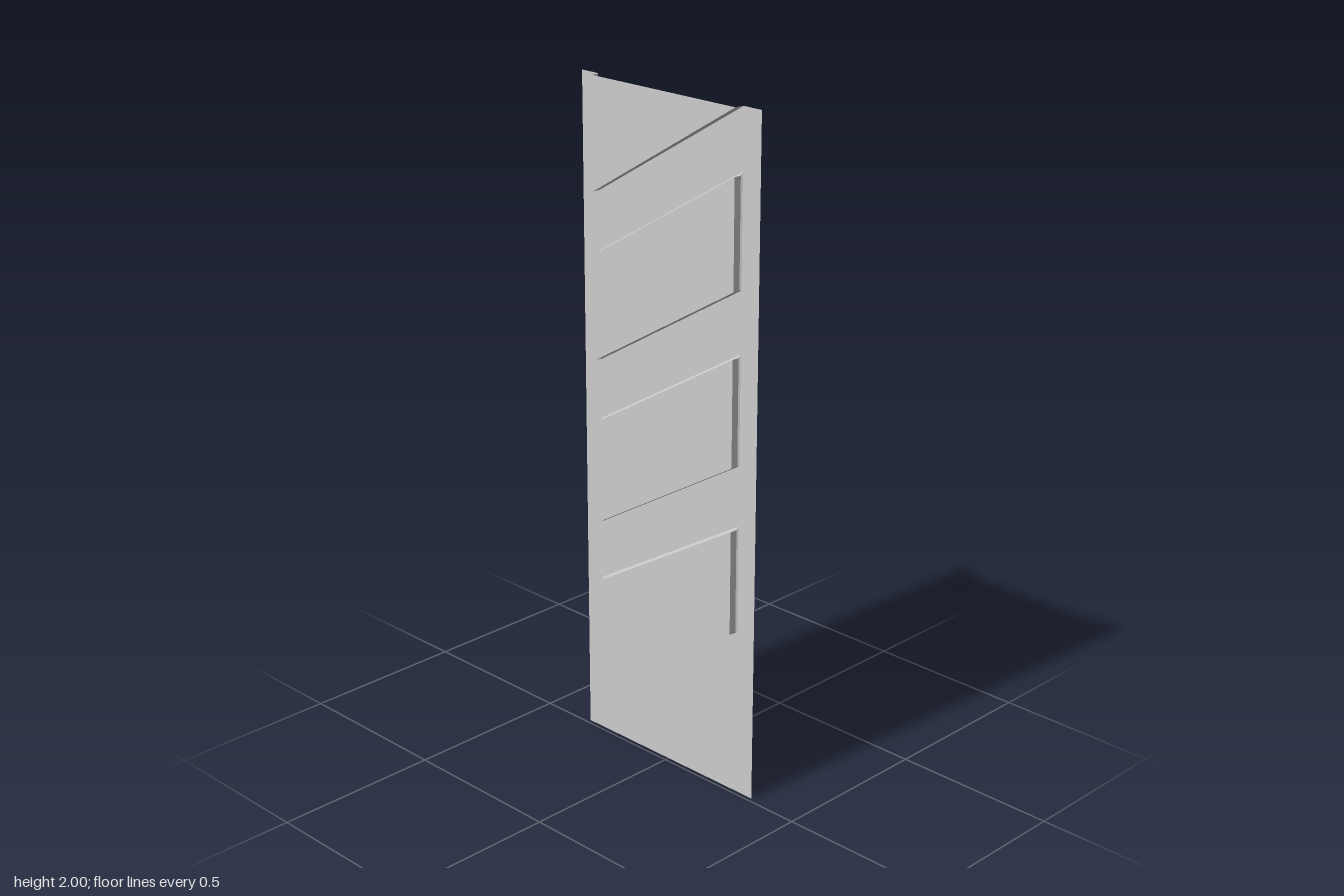
import * as THREE from 'three';

const H = 2, HALF = 0.333;              // sheet height and half width
const W = 0.27, SLOPE = 0.605;          // recess half width, fall per unit
const FACE = 0.0133, LIP = 0.0095, FLOOR = -0.0135; // depths along x

const material = new THREE.MeshStandardMaterial({
  color: 0xcccccc, flatShading: true, side: THREE.DoubleSide,
});

// Corners in (u, y), where u = -z. The inset shrinks the outline past the lip.
function slantedOutline(low, inset) {
  const w = W - inset;
  const bottom = (u) => low + inset * 0.5 - SLOPE * (u + W);
  const top = (u) => low + 0.322 - inset * 2 - SLOPE * (u + W);
  return [[-w, bottom(-w)], [w, bottom(w)], [w, top(w)], [-w, top(-w)]];
}

// The uppermost recess is cut off by the top edge of the sheet.
function cutOutline(inset) {
  const w = W - inset;
  return [[-w, H], [w, H - SLOPE * 2 * W + inset * 0.5], [w, H]];
}

const toPoints = (outline) => outline.map(([u, y]) => new THREE.Vector2(u, y));

// Flat face at depth x, looking towards +x
function face(name, shape, x) {
  const geometry = new THREE.ShapeGeometry(shape).rotateY(Math.PI / 2).translate(x, 0, 0);
  const mesh = new THREE.Mesh(geometry, material);
  mesh.name = name;
  return mesh;
}

// Bands joining successive rings; an open recess has no last side
function walls(rings, open) {
  const positions = [];
  const n = rings[0].outline.length;
  for (let r = 0; r < rings.length - 1; r++) {
    const a = rings[r], b = rings[r + 1];
    for (let i = 0; i < (open ? n - 1 : n); i++) {
      const j = (i + 1) % n;
      const corner = (ring, k) => [ring.x, ring.outline[k][1], -ring.outline[k][0]];
      const [p, q, s, t] = [corner(a, i), corner(a, j), corner(b, j), corner(b, i)];
      positions.push(...p, ...q, ...s, ...p, ...s, ...t);
    }
  }
  const geometry = new THREE.BufferGeometry();
  geometry.setAttribute('position', new THREE.Float32BufferAttribute(positions, 3));
  geometry.computeVertexNormals();
  const mesh = new THREE.Mesh(geometry, material);
  mesh.name = 'recessWalls';
  return mesh;
}

function recess(name, outlineAt, open) {
  const group = new THREE.Group();
  group.name = name;
  const outer = outlineAt(0), inner = outlineAt(0.004);
  group.add(
    walls([{ outline: outer, x: FACE }, { outline: inner, x: LIP }, { outline: inner, x: FLOOR }], open),
    face('recessFloor', new THREE.Shape(toPoints(inner)), FLOOR),
  );
  return group;
}

export function createModel() {
  const model = new THREE.Group();
  model.name = 'pressedPanel';
  const lows = [0.505, 1.005, 1.505];

  // Main sheet, notched at the top and pierced by the slanted recesses
  const [a, b, c] = cutOutline(0);
  const sheet = new THREE.Shape(toPoints([
    [-HALF, 0], [HALF, 0], [HALF, H], c, b, a, [-HALF, H],
  ]));
  for (const low of lows) sheet.holes.push(new THREE.Path(toPoints(slantedOutline(low, 0))));
  model.add(face('sheet', sheet, FACE));

  // Pressed recesses
  lows.forEach((low, i) => {
    model.add(recess(`slantedRecess${i + 1}`, (inset) => slantedOutline(low, inset), false));
  });
  model.add(recess('topRecess', cutOutline, true));
  return model;
}
